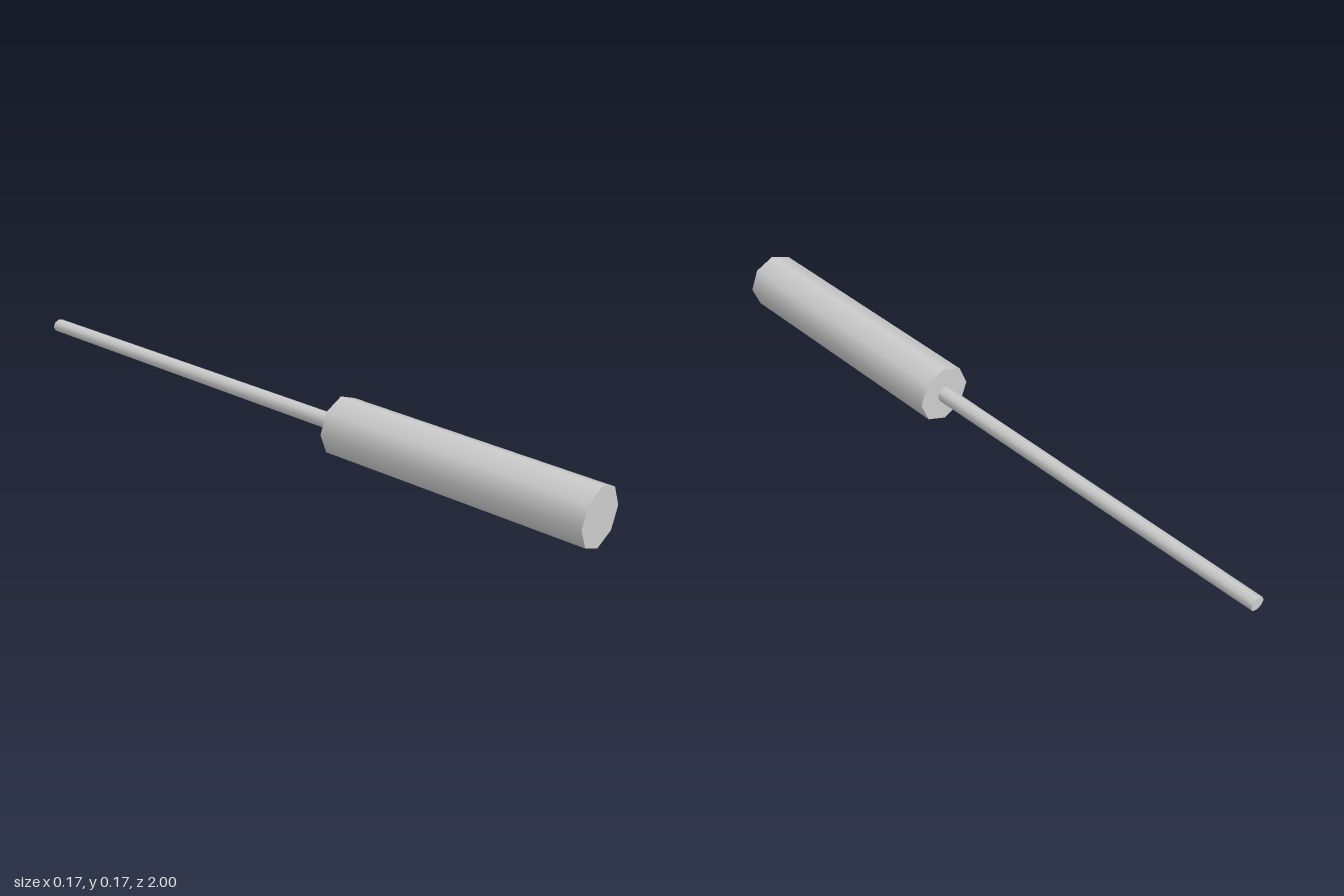
import * as THREE from 'three';

const AXIS_Y = 0.087; // height of the shared centre line
const SIDES = 8;

// Smooth-sided octagonal bar lying along z, from zBack to zFront
function bar(name, radius, zBack, zFront, material) {
  const geometry = new THREE.CylinderGeometry(radius, radius, zFront - zBack, SIDES);
  geometry.rotateX(Math.PI / 2);
  geometry.translate(0, 0, (zBack + zFront) / 2);
  const mesh = new THREE.Mesh(geometry, material);
  mesh.name = name;
  mesh.position.y = AXIS_Y;
  return mesh;
}

export function createModel() {
  const group = new THREE.Group();
  group.name = 'screwdriver';
  const grey = new THREE.MeshStandardMaterial({ color: 0xcccccc });
  grey.name = 'light grey';

  // Thick grip at the front
  const handle = bar('handle', 0.087, 0.173, 1, grey);

  // Thin shaft, its tip slightly flattened in height
  const shaft = bar('shaft', 0.024, -1, 0.173, grey);
  const points = shaft.geometry.attributes.position;
  for (let i = 0; i < points.count; i++) {
    if (points.getZ(i) < -0.9) points.setY(i, points.getY(i) * 0.8);
  }

  group.add(handle, shaft);
  return group;
}
